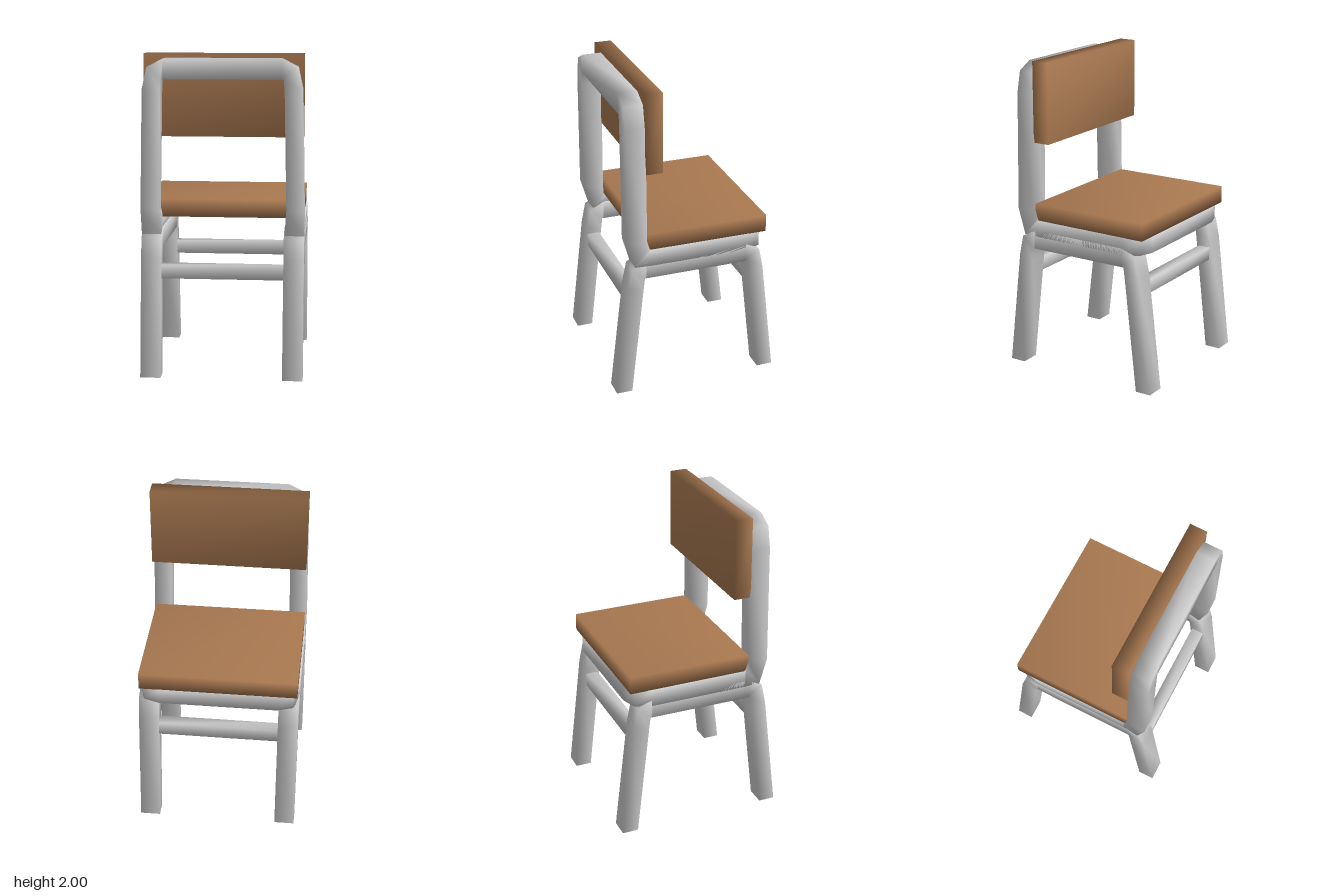
import * as THREE from 'three';
import { mergeVertices } from 'three/addons/utils/BufferGeometryUtils.js';

const metal = new THREE.MeshStandardMaterial({ color: 0xcccccc });
const wood = new THREE.MeshStandardMaterial({ color: 0xa87850 });

// Four-sided bar swept through stations {o: outer point, i: inner point, d: half depth}
function sweep(stations, closed) {
  const pos = [], index = [], n = stations.length;
  for (const { o, i, d } of stations) {
    for (const [p, s] of [[o, -1], [o, 1], [i, 1], [i, -1]]) {
      pos.push(p[0] + s * d[0], p[1] + s * d[1], p[2] + s * d[2]);
    }
  }
  for (let k = 0; k < (closed ? n : n - 1); k++) {
    const r0 = k * 4, r1 = ((k + 1) % n) * 4;
    for (let j = 0; j < 4; j++) {
      const m = (j + 1) % 4;
      index.push(r0 + j, r0 + m, r1 + j, r0 + m, r1 + m, r1 + j);
    }
  }
  if (!closed) {
    const e = (n - 1) * 4;
    index.push(0, 2, 1, 0, 3, 2, e, e + 1, e + 2, e, e + 2, e + 3);
  }
  const geo = new THREE.BufferGeometry();
  geo.setAttribute('position', new THREE.Float32BufferAttribute(pos, 3));
  geo.setIndex(index);
  geo.computeVertexNormals();
  return geo;
}

// Box whose normals blend across its edges
function softBox(w, h, d) {
  const box = new THREE.BoxGeometry(w, h, d);
  box.deleteAttribute('normal');
  box.deleteAttribute('uv');
  const geo = mergeVertices(box);
  geo.computeVertexNormals();
  return geo;
}

export function createModel() {
  const chair = new THREE.Group();
  chair.name = 'chair';
  const add = (name, geo, mat, x = 0, y = 0, z = 0) => {
    const mesh = new THREE.Mesh(geo, mat);
    mesh.name = name;
    mesh.position.set(x, y, z);
    chair.add(mesh);
  };

  // Seat and backrest boards
  add('seat', softBox(0.99, 0.11, 0.79), wood, 0, 1.04, -0.07);
  add('backrest', softBox(0.99, 0.51, 0.11), wood, 0, 1.745, 0.273);

  // Upper frame: one closed loop over the back, down and forward under the seat
  const back = [0, 0, 0.063], under = [0, -0.053, 0];
  const half = [
    { o: [0.36, 1.975, 0.387], i: [0.36, 1.85, 0.387], d: back },
    { o: [0.46, 1.925, 0.387], i: [0.375, 1.85, 0.387], d: back },
    { o: [0.49, 1.79, 0.387], i: [0.38, 1.77, 0.387], d: back },
    { o: [0.505, 1.05, 0.387], i: [0.395, 1.05, 0.387], d: back },
    { o: [0.505, 0.943, 0.355], i: [0.385, 0.943, 0.355], d: [0, -0.057, 0.047] },
    { o: [0.505, 0.935, 0.3], i: [0.385, 0.935, 0.3], d: under },
    { o: [0.505, 0.933, -0.33], i: [0.385, 0.933, -0.33], d: under },
    { o: [0.47, 0.933, -0.43], i: [0.38, 0.933, -0.345], d: under },
    { o: [0.37, 0.933, -0.465], i: [0.365, 0.933, -0.35], d: under },
  ];
  const flipX = ([x, y, z]) => [-x, y, z];
  const other = half.map(({ o, i, d }) => ({ o: flipX(o), i: flipX(i), d })).reverse();
  add('upperFrame', sweep([...half, ...other], true), metal);

  // Leg arches, one on each side, from back foot to front foot
  const wide = [0.063, 0, 0];
  const rise = [
    { o: [0, 0, 0.535], i: [0, 0, 0.432], d: wide },
    { o: [0, 0.745, 0.447], i: [0, 0.72, 0.35], d: wide },
    { o: [0, 0.87, 0.42], i: [0, 0.8, 0.34], d: wide },
    { o: [0, 0.92, 0.325], i: [0, 0.8, 0.325], d: wide },
  ];
  const flipZ = ([x, y, z]) => [x, y, -z];
  const fall = rise.map(({ o, i, d }) => ({ o: flipZ(o), i: flipZ(i), d })).reverse();
  const arch = sweep([...rise, ...fall], false);
  add('leftLegs', arch, metal, 0.442);
  add('rightLegs', arch, metal, -0.442);

  // Rungs joining the two leg arches
  const rung = softBox(0.8, 0.085, 0.08);
  add('backRung', rung, metal, 0, 0.657, 0.405);
  add('frontRung', rung, metal, 0, 0.657, -0.405);

  return chair;
}
